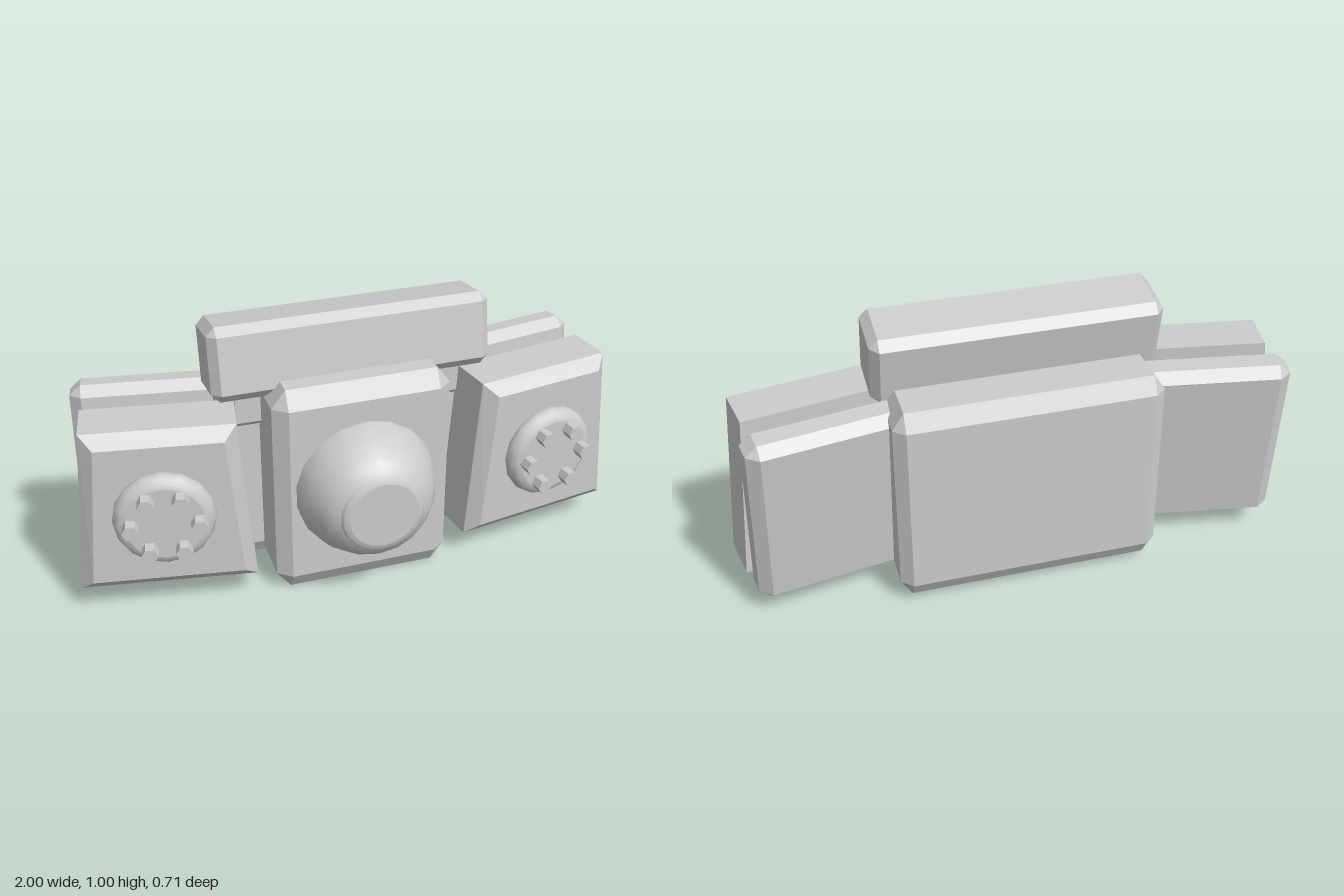
import * as THREE from 'three';
import { ConvexGeometry } from 'three/addons/geometries/ConvexGeometry.js';

const SIGNS = [-1, 1];

// Box with chamfered edges and corners; a, b, c are the cuts along x, y and z
function chamferBox(w, h, d, a, b, c) {
  const X = w / 2, Y = h / 2, Z = d / 2, pts = [];
  for (const i of SIGNS) for (const j of SIGNS) for (const k of SIGNS) {
    pts.push(
      new THREE.Vector3(i * X, j * (Y - b), k * (Z - c)),
      new THREE.Vector3(i * (X - a), j * Y, k * (Z - c)),
      new THREE.Vector3(i * (X - a), j * (Y - b), k * Z));
  }
  return new ConvexGeometry(pts);
}

// Tapered box whose front face is inset by a bevel
function taperedBlock() {
  const pts = [];
  const section = (z, inset) => {
    for (const s of SIGNS) {
      pts.push(new THREE.Vector3(s * (0.308 - inset), 0.1 + inset, z));
      pts.push(new THREE.Vector3(s * (0.26 - inset), 0.715 - inset, z));
    }
  };
  section(-0.085, 0);
  section(0.083, 0);
  section(0.125, 0.045);
  return new ConvexGeometry(pts);
}

// Turned shape facing +z, from [radius, z] pairs
function turned(profile, segments) {
  const g = new THREE.LatheGeometry(profile.map(p => new THREE.Vector2(...p)), segments);
  return g.rotateX(Math.PI / 2);
}

export function createModel() {
  const model = new THREE.Group();
  const grey = new THREE.MeshStandardMaterial({ color: 0xcccccc });
  grey.name = 'light grey';

  const add = (parent, name, geometry, x = 0, y = 0, z = 0) => {
    const mesh = new THREE.Mesh(geometry, grey);
    mesh.name = name;
    mesh.position.set(x, y, z);
    parent.add(mesh);
    return mesh;
  };

  // Centre body
  add(model, 'frontBlock', chamferBox(0.64, 0.805, 0.3, 0.05, 0.065, 0.04), 0, 0.4025, 0.005);
  add(model, 'backBlock', chamferBox(0.93, 0.75, 0.295, 0.04, 0.06, 0.035), 0, 0.405, -0.2075);
  add(model, 'barMount', chamferBox(0.86, 0.14, 0.17, 0.02, 0.02, 0.02), 0, 0.67, -0.115);

  // Leaning bar across the top
  const bar = add(model, 'topBar', chamferBox(1, 0.262, 0.228, 0.03, 0.03, 0.032), 0, 0.861, -0.077);
  bar.rotation.x = -0.17;

  // Dome with a stepped flat cap
  add(model, 'dome', turned([[0.255, 0.14], [0.252, 0.18], [0.232, 0.24], [0.205, 0.29], [0.178, 0.325], [0.15, 0.342]], 18), 0, 0.405);
  add(model, 'domeRim', turned([[0.15, 0.335], [0.149, 0.345], [0.14, 0.353], [0.122, 0.358]], 18), 0, 0.405);
  add(model, 'domeCap', new THREE.CircleGeometry(0.122, 18), 0, 0.405, 0.358);

  // Side pods, turned outward
  const discProfile = [[0.165, 0.11], [0.175, 0.13], [0.175, 0.145], [0.168, 0.163], [0.155, 0.176], [0.137, 0.181]];
  for (const s of SIGNS) {
    const pod = new THREE.Group();
    pod.name = s > 0 ? 'leftPod' : 'rightPod';
    pod.position.x = s * 0.683;
    pod.rotation.y = s * 0.17;
    model.add(pod);

    add(pod, 'taperedBlock', taperedBlock());
    const rear = add(pod, 'rearPanel', chamferBox(0.57, 0.675, 0.135, 0.04, 0.035, 0.035), s * 0.012, 0.405, -0.203);
    rear.rotation.x = -0.11;

    // Round plate with a ring of hexagonal bolts
    add(pod, 'discRim', turned(discProfile, 16), 0, 0.405);
    add(pod, 'discFace', new THREE.CircleGeometry(0.137, 16), 0, 0.405, 0.181);
    for (let i = 0; i < 6; i++) {
      const t = i * Math.PI / 3;
      const bolt = new THREE.CylinderGeometry(0.029, 0.029, 0.06, 6).toNonIndexed();
      bolt.rotateY(Math.PI / 6).rotateX(Math.PI / 2);
      bolt.computeVertexNormals();
      add(pod, 'bolt', bolt, 0.115 * Math.cos(t), 0.405 + 0.112 * Math.sin(t), 0.195);
    }
  }
  return model;
}
